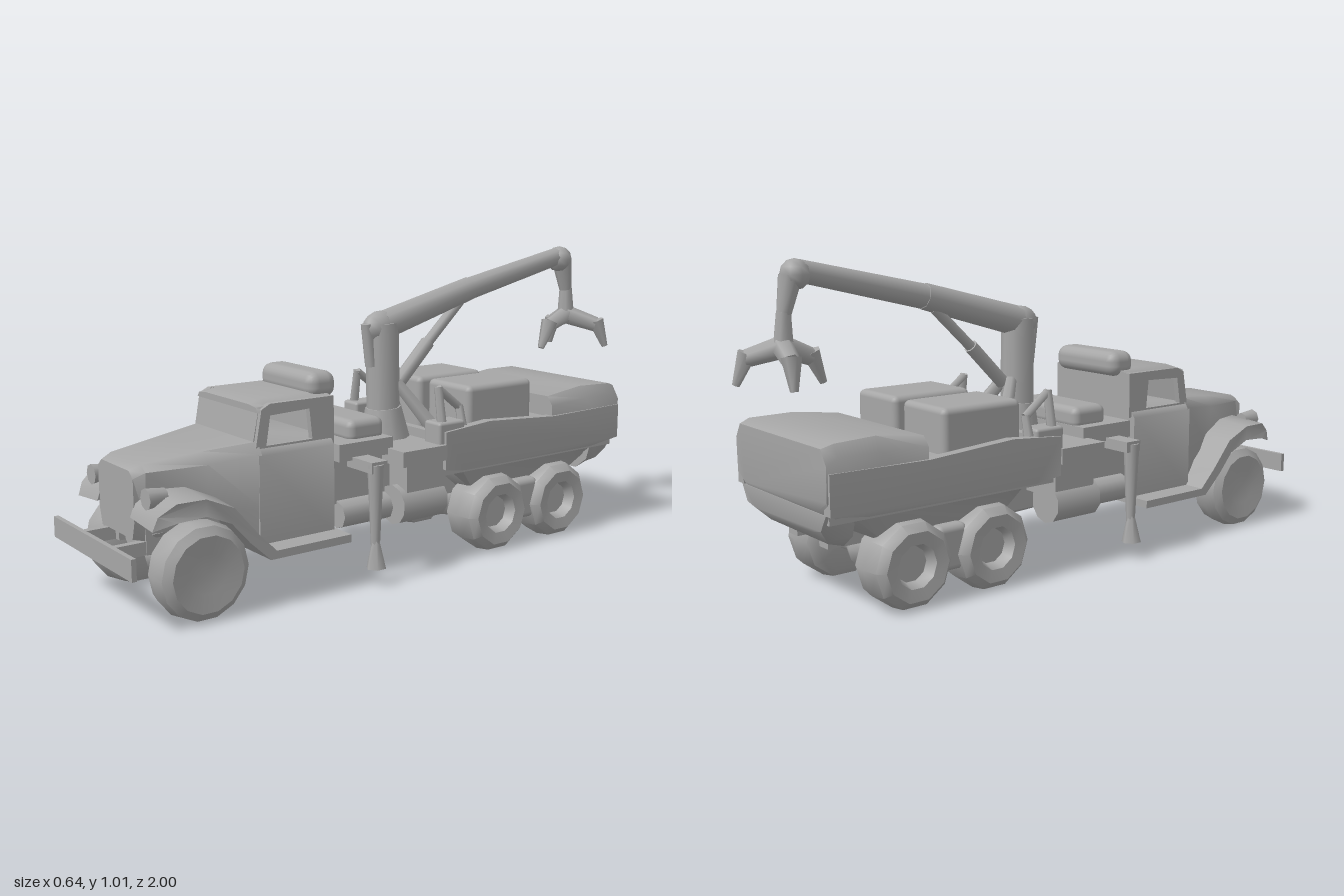
import * as THREE from 'three';
import { toCreasedNormals } from 'three/addons/utils/BufferGeometryUtils.js';
import { RoundedBoxGeometry } from 'three/addons/geometries/RoundedBoxGeometry.js';

const grey = new THREE.MeshStandardMaterial({ color: 0xa6a6a6, side: THREE.DoubleSide });
grey.name = 'grey';

export function createModel() {
  const root = new THREE.Group();
  root.name = 'craneTruck';
  const add = (name, geo) => {
    const m = new THREE.Mesh(geo, grey);
    m.name = name;
    root.add(m);
    return m;
  };
  // box given by its min and max on every axis
  const box = (name, x0, x1, y0, y1, z0, z1, r = 0) => {
    const s = [x1 - x0, y1 - y0, z1 - z0];
    const g = r ? new RoundedBoxGeometry(...s, 2, r) : new THREE.BoxGeometry(...s);
    return add(name, g.translate((x0 + x1) / 2, (y0 + y1) / 2, (z0 + z1) / 2));
  };
  // tapered rod between two points
  const rod = (name, a, b, r0, r1 = r0, seg = 8) => {
    const A = new THREE.Vector3(...a), d = new THREE.Vector3(...b).sub(A);
    const g = new THREE.CylinderGeometry(r1, r0, d.length(), seg);
    g.applyQuaternion(new THREE.Quaternion().setFromUnitVectors(new THREE.Vector3(0, 1, 0), d.clone().normalize()));
    g.translate(...A.addScaledVector(d, 0.5).toArray());
    return add(name, g);
  };
  // symmetric body through half profiles, listed from front to back
  const loft = (name, sections) => {
    const pos = [];
    const rings = sections.map(([z, half]) => [
      ...half.map(([x, y]) => [x, y, z]),
      ...half.slice().reverse().map(([x, y]) => [-x, y, z])]);
    const tri = (...p) => p.forEach(v => pos.push(...v));
    const n = rings[0].length;
    for (let i = 0; i < rings.length - 1; i++) {
      for (let j = 0; j < n; j++) {
        const k = (j + 1) % n, [a, b, c, d] = [rings[i][j], rings[i][k], rings[i + 1][k], rings[i + 1][j]];
        tri(a, d, b);
        tri(b, d, c);
      }
    }
    const f = rings[0], e = rings[rings.length - 1];
    for (let j = 1; j < n - 1; j++) {
      tri(f[0], f[j], f[j + 1]);
      tri(e[0], e[j + 1], e[j]);
    }
    const g = new THREE.BufferGeometry();
    g.setAttribute('position', new THREE.Float32BufferAttribute(pos, 3));
    return add(name, toCreasedNormals(g, 0.9));
  };
  // side outline in (z, y) pulled out from x0 to x1, optionally moved by a rule
  const slab = (name, pts, x0, x1, hole, rule) => {
    const v = p => p.map(([z, y]) => new THREE.Vector2(-z, y));
    const s = new THREE.Shape(v(pts));
    if (hole) s.holes.push(new THREE.Path(v(hole)));
    const g = new THREE.ExtrudeGeometry(s, { depth: x1 - x0, bevelEnabled: false });
    g.rotateY(Math.PI / 2).translate(x0, 0, 0);
    if (rule) {
      const p = g.attributes.position;
      for (let i = 0; i < p.count; i++) p.setXYZ(i, ...rule(p.getX(i), p.getY(i), p.getZ(i)));
    }
    return add(name, toCreasedNormals(g, 0.7));
  };
  // the same slab on both sides
  const slabs = (name, pts, x0, x1, hole, rule) => {
    slab('left' + name, pts, x0, x1, hole, rule);
    slab('right' + name, pts, -x1, -x0, hole, rule);
  };

  // bonnet and lower cab
  loft('bonnet', [
    [0.915, [[0.1, 0.25], [0.115, 0.3], [0.115, 0.43], [0.09, 0.45]]],
    [0.88, [[0.105, 0.24], [0.12, 0.3], [0.125, 0.445], [0.1, 0.465]]],
    [0.7, [[0.13, 0.22], [0.155, 0.3], [0.165, 0.45], [0.135, 0.485]]],
    [0.54, [[0.19, 0.18], [0.2, 0.3], [0.2, 0.465], [0.175, 0.5]]]]);
  loft('lowerCab', [
    [0.55, [[0.2, 0.18], [0.2, 0.46], [0.18, 0.485]]],
    [0.28, [[0.2, 0.18], [0.2, 0.46], [0.18, 0.485]]]]);
  // upper cab with open side windows
  slabs('CabSide', [[0.555, 0.46], [0.53, 0.595], [0.5, 0.61], [0.27, 0.61], [0.27, 0.46]], 0.165, 0.185,
    [[0.515, 0.485], [0.5, 0.575], [0.36, 0.58], [0.35, 0.485]]);
  slab('windscreen', [[0.555, 0.48], [0.53, 0.6], [0.515, 0.6], [0.54, 0.48]], -0.17, 0.17);
  box('cabBack', -0.17, 0.17, 0.46, 0.61, 0.27, 0.29);
  loft('cabRoof', [
    [0.54, [[0.18, 0.585], [0.17, 0.6], [0.13, 0.605]]],
    [0.5, [[0.185, 0.585], [0.175, 0.605], [0.13, 0.618]]],
    [0.27, [[0.185, 0.585], [0.175, 0.605], [0.13, 0.62]]]]);
  box('rolledCover', -0.145, 0.155, 0.595, 0.68, 0.23, 0.335, 0.035);

  // front wings that narrow and droop at the outer front corner, running boards and lamps
  const wingRule = (x, y, z) => {
    const outer = Math.abs(x) > 0.2;
    return [outer && z > 0.85 ? x * (1 - (z - 0.85) * 1.4) : x, outer && y > 0.3 ? y - 0.012 : y, z];
  };
  slabs('Wing', [[0.925, 0.32], [0.91, 0.36], [0.86, 0.395], [0.77, 0.395], [0.68, 0.355], [0.6, 0.25],
    [0.54, 0.19], [0.27, 0.19], [0.27, 0.165], [0.56, 0.165], [0.63, 0.23], [0.69, 0.31], [0.77, 0.345],
    [0.86, 0.34]], 0.11, 0.275, null, wingRule);
  for (const s of [-1, 1]) {
    rod('headlamp', [s * 0.18, 0.385, 0.85], [s * 0.18, 0.385, 0.91], 0.025, 0.032);
    box('bumperArm', s * 0.1 - 0.012, s * 0.1 + 0.012, 0.2, 0.24, 0.8, 0.985);
    box('chassisRail', s * 0.09 - 0.025, s * 0.09 + 0.025, 0.2, 0.28, -0.85, 0.88);
  }
  box('bumper', -0.265, 0.265, 0.185, 0.25, 0.985, 1);
  loft('engineSump', [
    [0.86, [[0.05, 0.19], [0.12, 0.26]]],
    [0.72, [[0.06, 0.11], [0.12, 0.26]]],
    [0.45, [[0.06, 0.15], [0.12, 0.26]]]]);

  // wheels: a tyre shell closed by its own outer face profile
  const wheel = (name, s, x, y, z, r, w, seg, face) => {
    const p = [[0, -w], [r * 0.75, -w], [r * 0.93, -w * 0.75], [r, 0], [r * 0.95, w * 0.7], [r * 0.78, w], ...face];
    const g = new THREE.LatheGeometry(p.map(q => new THREE.Vector2(...q)), seg);
    g.rotateZ(-s * Math.PI / 2).translate(s * x, y, z);
    add(name, toCreasedNormals(g, 0.7));
  };
  for (const s of [-1, 1]) {
    wheel('frontWheel', s, 0.21, 0.16, 0.765, 0.148, 0.062, 14, [[0.06, 0.055], [0, 0.05]]);
    for (const z of [-0.36, -0.65]) {
      wheel('rearWheel', s, 0.2, 0.147, z, 0.138, 0.078, 10, [[0.068, 0.072], [0.055, 0.035], [0, 0.035]]);
    }
    box('suspensionLink', s * 0.2 - 0.05, s * 0.2 + 0.05, 0.1, 0.24, -0.56, -0.45, 0.02);
  }
  for (const [y, z] of [[0.16, 0.765], [0.147, -0.36], [0.147, -0.65]]) {
    rod('axle', [-0.2, y, z], [0.2, y, z], 0.036);
    add('differential', new THREE.SphereGeometry(0.066, 8, 6).translate(0, y, z));
  }
  rod('driveShaft', [0, 0.2, 0.5], [0, 0.16, -0.6], 0.025);

  // middle platform, tanks and control box
  box('platform', -0.28, 0.28, 0.37, 0.42, -0.11, 0.07);
  box('middleFrame', -0.17, 0.17, 0.26, 0.42, -0.12, 0.28);
  box('frontDeck', -0.2, 0.2, 0.4, 0.455, 0.05, 0.26);
  box('controlBox', -0.16, 0.16, 0.44, 0.515, 0.05, 0.19, 0.025);
  for (const s of [-1, 1]) {
    rod('tank', [s * 0.21, 0.235, 0.06], [s * 0.21, 0.235, -0.12], 0.065, 0.065, 10);
    rod('airBottle', [s * 0.17, 0.225, 0.25], [s * 0.17, 0.225, 0.06], 0.045);
    box('tankShelf', s * 0.21 - 0.05, s * 0.21 + 0.05, 0.28, 0.38, -0.12, 0.04);
    // stabiliser legs
    box('stabiliserBeam', s * 0.215 - 0.085, s * 0.215 + 0.085, 0.375, 0.41, 0.15, 0.21);
    rod('stabiliserLeg', [s * 0.285, 0.4, 0.185], [s * 0.285, 0.13, 0.185], 0.026, 0.014);
    rod('stabiliserFoot', [s * 0.29, 0.07, 0.185], [s * 0.287, 0.16, 0.185], 0.033, 0.012, 6);
    // side lockers and leaning guards at the front of the bed
    box('sideLocker', s * 0.225 - 0.04, s * 0.225 + 0.04, 0.4, 0.49, -0.2, -0.09, 0.01);
    for (const z of [-0.12, -0.21]) {
      rod('guardPost', [s * 0.25, 0.42, z], [s * 0.22, z < -0.2 ? 0.53 : 0.6, z], 0.018, 0.014, 6);
    }
    rod('guardRail', [s * 0.22, 0.595, -0.12], [s * 0.22, 0.525, -0.21], 0.014, 0.014, 6);
  }

  // cargo bed
  box('bedFloor', -0.25, 0.25, 0.31, 0.37, -0.92, -0.11);
  const tuck = (x, y, z) => [Math.abs(x) > 0.26 && y < 0.33 ? x * 0.96 : x, y, z];
  slabs('BedSide', [[-0.11, 0.335], [-0.11, 0.46], [-0.3, 0.475], [-0.6, 0.455], [-0.93, 0.46],
    [-0.93, 0.34], [-0.8, 0.32], [-0.2, 0.32]], 0.24, 0.275, null, tuck);
  box('bedFront', -0.25, 0.25, 0.32, 0.45, -0.14, -0.11);
  box('bedDivider', -0.25, 0.25, 0.36, 0.45, -0.63, -0.53);
  loft('rearLoad', [
    [-0.6, [[0.24, 0.32], [0.265, 0.36], [0.265, 0.49], [0.24, 0.52]]],
    [-0.76, [[0.24, 0.32], [0.27, 0.36], [0.27, 0.5], [0.24, 0.54]]],
    [-0.9, [[0.24, 0.31], [0.27, 0.36], [0.272, 0.5], [0.25, 0.537]]],
    [-0.935, [[0.22, 0.35], [0.265, 0.38], [0.268, 0.48], [0.24, 0.525]]]]);
  box('rightCrate', -0.24, -0.02, 0.36, 0.588, -0.53, -0.24, 0.02);
  box('leftCrate', 0.02, 0.235, 0.36, 0.59, -0.53, -0.24, 0.02);
  loft('underBed', [
    [-0.2, [[0.2, 0.3], [0.25, 0.32]]],
    [-0.3, [[0.2, 0.22], [0.25, 0.32]]],
    [-0.72, [[0.2, 0.22], [0.25, 0.32]]],
    [-0.84, [[0.2, 0.28], [0.25, 0.32]]]]);
  loft('rearCrossbar', [
    [-0.83, [[0.17, 0.22], [0.22, 0.26], [0.24, 0.33]]],
    [-0.88, [[0.17, 0.235], [0.22, 0.26], [0.25, 0.33]]],
    [-0.93, [[0.17, 0.28], [0.22, 0.29], [0.25, 0.34]]]]);

  // crane column and boom
  const x = 0.045;
  rod('craneBase', [x, 0.38, -0.04], [x, 0.52, -0.03], 0.09, 0.06, 10);
  rod('craneColumn', [x, 0.48, -0.03], [x, 0.8, -0.025], 0.055, 0.055, 10);
  add('craneElbow', new THREE.SphereGeometry(0.055, 10, 8).scale(0.85, 1, 1.25).translate(x, 0.785, -0.02));
  rod('columnCylinder', [x, 0.66, 0.02], [x, 0.8, 0.038], 0.02);
  rod('mainBoom', [x, 0.79, -0.03], [x, 0.89, -0.4], 0.05, 0.042);
  rod('outerBoom', [x, 0.885, -0.38], [x, 0.985, -0.83], 0.04, 0.033);
  rod('liftCylinder', [x, 0.59, -0.09], [x, 0.72, -0.22], 0.024);
  rod('liftPiston', [x, 0.71, -0.21], [x, 0.85, -0.36], 0.018);
  for (const s of [-1, 1]) rod('columnBrace', [x + s * 0.1, 0.44, -0.17], [x + s * 0.02, 0.6, -0.07], 0.028, 0.02, 6);
  add('boomHead', new THREE.SphereGeometry(0.046, 8, 6).translate(x, 0.975, -0.84));

  // grab with three bent claws
  rod('grabHanger', [x, 0.97, -0.855], [x, 0.86, -0.88], 0.036, 0.022);
  rod('grabRotator', [x, 0.87, -0.88], [x, 0.75, -0.885], 0.022, 0.032);
  for (const [kx, kz, tx, tz] of [[0.05, -0.795, 0.05, -0.755], [0.13, -0.955, 0.15, -0.985], [-0.04, -0.905, -0.06, -0.91]]) {
    rod('clawArm', [x, 0.77, -0.885], [kx, 0.735, kz], 0.034, 0.027, 6);
    rod('clawTip', [kx, 0.75, kz], [tx, 0.655, tz], 0.03, 0.012, 6);
  }
  return root;
}
